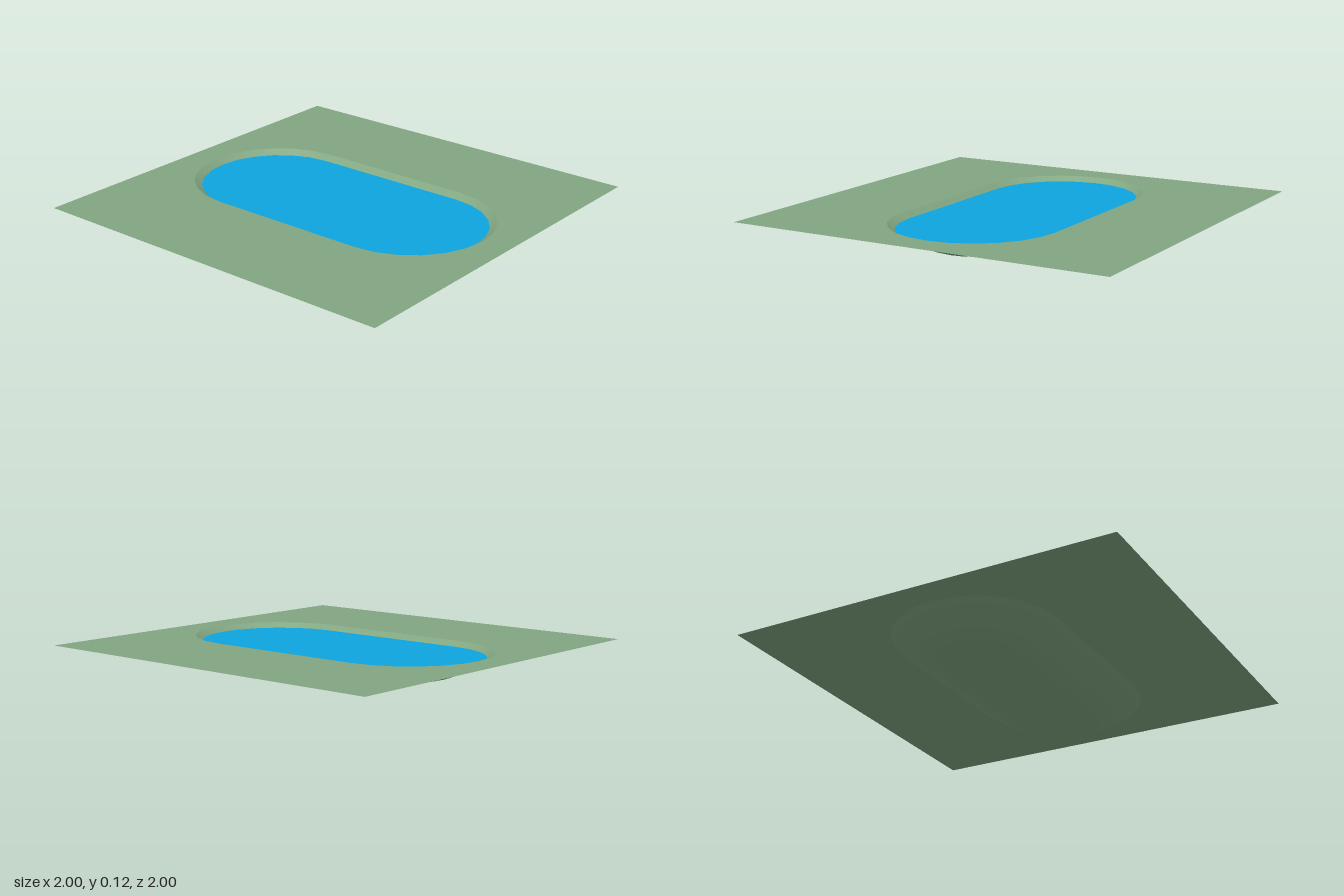
import * as THREE from 'three';

const RIM_Y = 0.125, WATER_Y = 0.1;
const RIM_R = 0.425, FLOOR_R = 0.14, HALF_STRAIGHT = 0.425;
const END_STEPS = 12, WALL_STEPS = 10;

// Stadium outline of end radius r, as points in plan
function outline(r) {
  const points = [];
  for (const side of [1, -1]) {
    for (let i = 0; i <= END_STEPS; i++) {
      const a = (i / END_STEPS) * Math.PI;
      points.push(new THREE.Vector2(side * r * Math.cos(a), side * (HALF_STRAIGHT + r * Math.sin(a))));
    }
  }
  return points;
}

// Horizontal sheet facing up at height y
function sheet(name, shape, y, material) {
  const geometry = new THREE.ShapeGeometry(shape).rotateX(-Math.PI / 2).translate(0, y, 0);
  const mesh = new THREE.Mesh(geometry, material);
  mesh.name = name;
  return mesh;
}

// Basin: nested stadium rings rising from a flat floor along a curved wall
function basinGeometry() {
  const rings = [{ r: 0, y: 0 }, { r: FLOOR_R / 2, y: 0 }];
  for (let i = 0; i <= WALL_STEPS; i++) {
    const t = i / WALL_STEPS;
    rings.push({ r: FLOOR_R + (RIM_R - FLOOR_R) * t, y: RIM_Y * (1 - Math.cos((t * Math.PI) / 2)) });
  }
  const positions = [], index = [];
  const n = 2 * (END_STEPS + 1);
  rings.forEach(({ r, y }, k) => {
    for (const p of outline(r)) positions.push(p.x, y, -p.y);
    if (k === 0) return;
    for (let i = 0; i < n; i++) {
      const j = (i + 1) % n;
      const a = (k - 1) * n + i, b = (k - 1) * n + j;
      const c = k * n + i, d = k * n + j;
      index.push(a, c, d, a, d, b);
    }
  });
  // Close the floor strip between the two end centres
  const e = END_STEPS;
  index.push(0, e, e + 1, 0, e + 1, n - 1);
  const geometry = new THREE.BufferGeometry();
  geometry.setAttribute('position', new THREE.Float32BufferAttribute(positions, 3));
  geometry.setIndex(index);
  geometry.computeVertexNormals();
  // The collapsed centre ring lies flat
  const normals = geometry.attributes.normal;
  for (let i = 0; i < n; i++) normals.setXYZ(i, 0, 1, 0);
  return geometry;
}

export function createModel() {
  const group = new THREE.Group();
  group.name = 'pond';
  const grass = new THREE.MeshStandardMaterial({ color: 0x82a682, side: THREE.DoubleSide });
  const blue = new THREE.MeshStandardMaterial({ color: 0x0ea5e0, side: THREE.DoubleSide });

  // Square ground with a pond-shaped opening
  const square = new THREE.Shape([[-1, -1], [1, -1], [1, 1], [-1, 1]].map(([x, y]) => new THREE.Vector2(x, y)));
  square.holes.push(new THREE.Path(outline(RIM_R)));
  group.add(sheet('ground', square, RIM_Y, grass));

  // Sunken basin
  const basin = new THREE.Mesh(basinGeometry(), grass);
  basin.name = 'basin';
  group.add(basin);

  // Water meeting the basin wall
  const t = Math.acos(1 - WATER_Y / RIM_Y) / (Math.PI / 2);
  const waterR = FLOOR_R + (RIM_R - FLOOR_R) * t;
  group.add(sheet('water', new THREE.Shape(outline(waterR)), WATER_Y, blue));

  return group;
}
